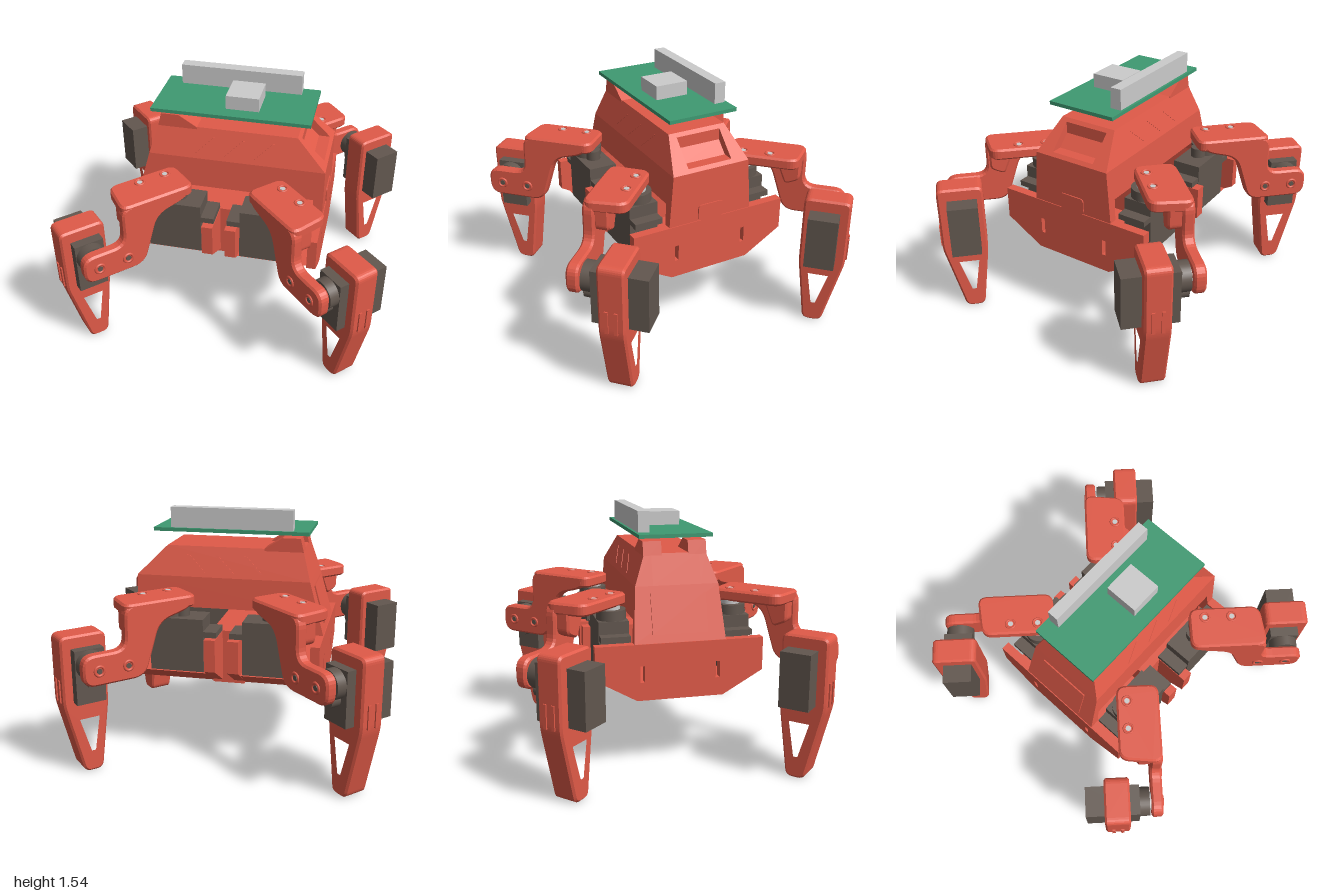
import * as THREE from 'three';

const paint = (color) => new THREE.MeshStandardMaterial({ color });
const red = paint(0xe05a48), brown = paint(0x62574f), green = paint(0x3f9a72), grey = paint(0xcccccc);

function add(parent, name, geometry, material) {
  const mesh = new THREE.Mesh(geometry, material);
  mesh.name = name;
  parent.add(mesh);
  return mesh;
}

// Box given by its limits
function box(x0, x1, y0, y1, z0, z1) {
  return new THREE.BoxGeometry(x1 - x0, y1 - y0, z1 - z0)
    .translate((x0 + x1) / 2, (y0 + y1) / 2, (z0 + z1) / 2);
}

// Closed outline with rounded corners
function outline(pts, r = 0, Type = THREE.Shape) {
  const p = pts.map(([x, y]) => new THREE.Vector2(x, y));
  if (!r) return new Type(p);
  const shape = new Type();
  p.forEach((c, i) => {
    const toward = (q) => q.clone().sub(c).setLength(Math.min(r, q.distanceTo(c) * 0.45)).add(c);
    const a = toward(p[(i + p.length - 1) % p.length]);
    const b = toward(p[(i + 1) % p.length]);
    if (i) shape.lineTo(a.x, a.y); else shape.moveTo(a.x, a.y);
    shape.quadraticCurveTo(c.x, c.y, b.x, b.y);
  });
  shape.closePath();
  return shape;
}

// Extrusion from z0 to z1 with a small chamfer kept inside the outline
function slab(shape, z0, z1, bevel = 0.012) {
  const lo = Math.min(z0, z1), depth = Math.abs(z1 - z0);
  return new THREE.ExtrudeGeometry(shape, {
    depth: depth - 2 * bevel, curveSegments: 6, bevelEnabled: bevel > 0,
    bevelThickness: bevel, bevelSize: bevel, bevelOffset: -bevel, bevelSegments: 1,
  }).translate(0, 0, lo + bevel);
}

// Side profile whose near and far faces follow a width that changes with height
function prism(pts, back, front) {
  const g = new THREE.ExtrudeGeometry(outline(pts), { depth: 1, bevelEnabled: false });
  const p = g.attributes.position;
  for (let i = 0; i < p.count; i++) {
    p.setZ(i, p.getZ(i) > 0.5 ? front(p.getY(i)) : back(p.getY(i)));
  }
  g.computeVertexNormals();
  return g;
}

// Profile in (z, y) extruded along x
function crossSlab(pts, x0, x1, holes = []) {
  const shape = outline(pts.map(([z, y]) => [-z, y]));
  holes.forEach((h) => shape.holes.push(outline(h, 0, THREE.Path)));
  return slab(shape, x0, x1, 0).rotateY(Math.PI / 2);
}

// Servo with its output shaft on +y, case top at y = 0, case running to -x
function createServo(name) {
  const g = new THREE.Group();
  g.name = name;
  add(g, 'servoCase', box(-0.24, 0.09, -0.33, 0, -0.09, 0.09), brown);
  add(g, 'servoTabs', box(-0.32, 0.16, -0.11, -0.075, -0.088, 0.088), brown);
  add(g, 'servoGearHousing', new THREE.CylinderGeometry(0.088, 0.088, 0.06, 32).translate(0, 0.03, 0), brown);
  add(g, 'servoSmallHousing', new THREE.CylinderGeometry(0.045, 0.045, 0.06, 24).translate(-0.09, 0.03, 0), brown);
  add(g, 'servoShaft', new THREE.CylinderGeometry(0.055, 0.055, 0.04, 24).translate(0, 0.08, 0), grey);
  return g;
}

// Leg in its own frame: x outward, y up, z * s toward the bracket side
function createLeg(s) {
  const leg = new THREE.Group();

  // Hip plate on top of the hip servo
  const plate = outline([[0.42, -0.055], [0.86, -0.055], [0.89, 0.2], [0.42, 0.2]].map(([u, v]) => [u, v * s]), 0.06);
  add(leg, 'hipPlate', slab(plate, -1.06, -0.99).rotateX(Math.PI / 2), red);

  // S-shaped side bracket from the hip plate down to the knee
  const bracket = outline([[0.46, 1.055], [0.89, 1.055], [0.89, 0.8], [1.155, 0.8], [1.155, 0.615],
    [0.77, 0.615], [0.67, 0.93], [0.46, 0.985]], 0.075);
  add(leg, 'sideBracket', slab(bracket, 0.13 * s, 0.2 * s), red);
  // Gusset under the outer end of the hip plate
  const gusset = outline([[0.7, 1.04], [0.87, 1.04], [0.87, 0.88], [0.78, 0.84]], 0.03);
  add(leg, 'bracketGusset', slab(gusset, 0.05 * s, 0.14 * s), red);

  // Screws
  for (const u of [0.88, 1.06]) {
    add(leg, 'kneeScrewSeat', new THREE.TorusGeometry(0.028, 0.008, 8, 24).translate(u, 0.705, 0.2 * s), red);
    add(leg, 'kneeScrew', new THREE.CylinderGeometry(0.016, 0.016, 0.02, 16).rotateX(Math.PI / 2)
      .translate(u, 0.705, 0.195 * s), brown);
  }
  for (const u of [0.516, 0.683]) {
    add(leg, 'hipScrewSeat', new THREE.TorusGeometry(0.028, 0.006, 8, 24).rotateX(Math.PI / 2)
      .translate(u, 1.06, 0.008 * s), red);
    add(leg, 'hipScrew', new THREE.CylinderGeometry(0.016, 0.016, 0.02, 16).translate(u, 1.053, 0.008 * s), grey);
  }

  // Knee servo lying on its side
  const servo = createServo('kneeServo');
  servo.quaternion.setFromRotationMatrix(new THREE.Matrix4().makeBasis(
    new THREE.Vector3(0, 1, 0), new THREE.Vector3(0, 0, s), new THREE.Vector3(s, 0, 0)));
  servo.position.set(1.06, 0.705, 0.06 * s);
  leg.add(servo);

  // Tapered foot with a window, wrapped round the knee servo
  const foot = outline([[0.93, 0.43], [0.93, 0.87], [1.21, 0.87], [1.21, 0.45], [1.1, 0], [0.985, 0]], 0.04);
  foot.holes.push(outline([[0.98, 0.36], [1.135, 0.36], [1.065, 0.12], [1.02, 0.12]], 0.015, THREE.Path));
  add(leg, 'foot', slab(foot, -0.155 * s, 0), red);
  // Raised ribs on the outer edge of the foot
  for (const v of [-0.105, -0.05]) {
    add(leg, 'footRib', box(1.2, 1.218, 0.46, 0.6, v * s - 0.01, v * s + 0.01), red);
  }
  return leg;
}

function createBody() {
  const body = new THREE.Group();
  body.name = 'body';

  // Lower tray: end walls, floor halves, centre core and posts
  const full = [[0.505, 0.8], [0.505, 0.6], [0.26, 0.46], [-0.26, 0.46], [-0.505, 0.6], [-0.505, 0.8]];
  const low = [[0.45, 0.57], [0.26, 0.46], [-0.26, 0.46], [-0.45, 0.57]];
  const slots = [-1, 1].map((k) => [0.215, 0.24].flatMap((z, i) =>
    (i ? [0.67, 0.57] : [0.57, 0.67]).map((y) => [k * z, y])));
  add(body, 'endWallLeft', crossSlab(full, 0.54, 0.595, slots), red);
  add(body, 'endWallRight', crossSlab(full, -0.585, -0.53, slots), red);
  add(body, 'floorLeft', crossSlab(low, 0.04, 0.54), red);
  add(body, 'floorRight', crossSlab(low, -0.53, -0.04), red);
  add(body, 'core', box(-0.1, 0.1, 0.462, 0.8, -0.295, 0.295), red);
  for (const k of [-1, 1]) {
    add(body, 'centrePost', crossSlab(full, k < 0 ? -0.105 : 0.037, k < 0 ? -0.037 : 0.105), red);
  }

  // Upper shell: arched lower part, then the tapering roof in three strips
  const half = (y) => (y < 1.12 ? 0.275 - (y - 0.8) * 0.078 : 0.25 - (y - 1.12) * 0.36);
  add(body, 'shellSides', prism([[-0.58, 0.8], [-0.52, 0.8], [-0.5, 0.93], [0.53, 0.93], [0.54, 0.8],
    [0.59, 0.8], [0.59, 1.12], [-0.49, 1.12]], (y) => -half(y), half), red);
  const roof = [[-0.49, 1.12], [0.59, 1.12], [0.41, 1.3], [-0.437, 1.3]];
  const roofRecess = [[-0.49, 1.12], [0.59, 1.12], [0.57, 1.14], [0.5, 1.14], [0.43, 1.21],
    [0.43, 1.28], [0.41, 1.3], [-0.437, 1.3]];
  add(body, 'roofFront', prism(roof, () => 0.143, half), red);
  add(body, 'roofMiddle', prism(roofRecess, () => -0.143, () => 0.143), red);
  add(body, 'roofBack', prism(roof, (y) => -half(y), () => -0.143), red);

  // Horns that carry the board
  const horn = outline([[-0.45, 1.25], [-0.42, 1.37], [-0.31, 1.37], [-0.2, 1.3], [-0.2, 1.25]]);
  add(body, 'hornFront', slab(horn, 0.08, 0.19, 0), red);
  add(body, 'hornBack', slab(horn, -0.19, -0.08, 0), red);

  // Small door at one end, sloped cover panel at the other
  const door = outline([[-0.085, 0.8], [0.085, 0.8], [0.085, 0.9], [-0.085, 0.9]], 0.025);
  add(body, 'endDoor', slab(door, 0.585, 0.597, 0).rotateY(Math.PI / 2), red);
  const panel = outline([[-0.57, 0.85], [-0.505, 1.08], [-0.513, 1.082], [-0.578, 0.852]]);
  add(body, 'endPanel', slab(panel, -0.165, 0.165, 0), red);

  // Slanted ribs along both shell sides
  for (const k of [-1, 1]) {
    for (const x of [-0.2, -0.02, 0.16]) {
      const rib = outline([[x, 1.15], [x + 0.015, 1.15], [x + 0.12, 1.25], [x + 0.105, 1.25]]);
      const g = slab(rib, -0.003, 0.003, 0);
      const p = g.attributes.position;
      for (let i = 0; i < p.count; i++) p.setZ(i, p.getZ(i) + k * half(p.getY(i)));
      g.computeVertexNormals();
      add(body, 'shellRib', g, red);
    }
  }
  return body;
}

export function createModel() {
  const model = new THREE.Group();
  model.name = 'walkingRobot';
  model.add(createBody());

  // Circuit board with its connector and chip
  add(model, 'circuitBoard', box(-0.475, 0.485, 1.393, 1.415, -0.222, 0.218), green);
  add(model, 'connector', box(-0.375, 0.378, 1.415, 1.54, -0.207, -0.138), grey);
  add(model, 'chip', box(-0.035, 0.165, 1.415, 1.5, -0.075, 0.132), grey);

  // Four legs and their hip servos
  for (const sx of [-1, 1]) {
    for (const sz of [-1, 1]) {
      const leg = createLeg(sx * sz);
      leg.name = (sz > 0 ? 'front' : 'back') + (sx > 0 ? 'Left' : 'Right') + 'Leg';
      leg.rotation.y = Math.atan2(-sz, sx);
      model.add(leg);
      const hip = createServo('hipServo');
      hip.position.set(sx * 0.36, 0.91, sz * 0.37);
      hip.rotation.y = sx > 0 ? 0 : Math.PI;
      model.add(hip);
    }
  }
  return model;
}
